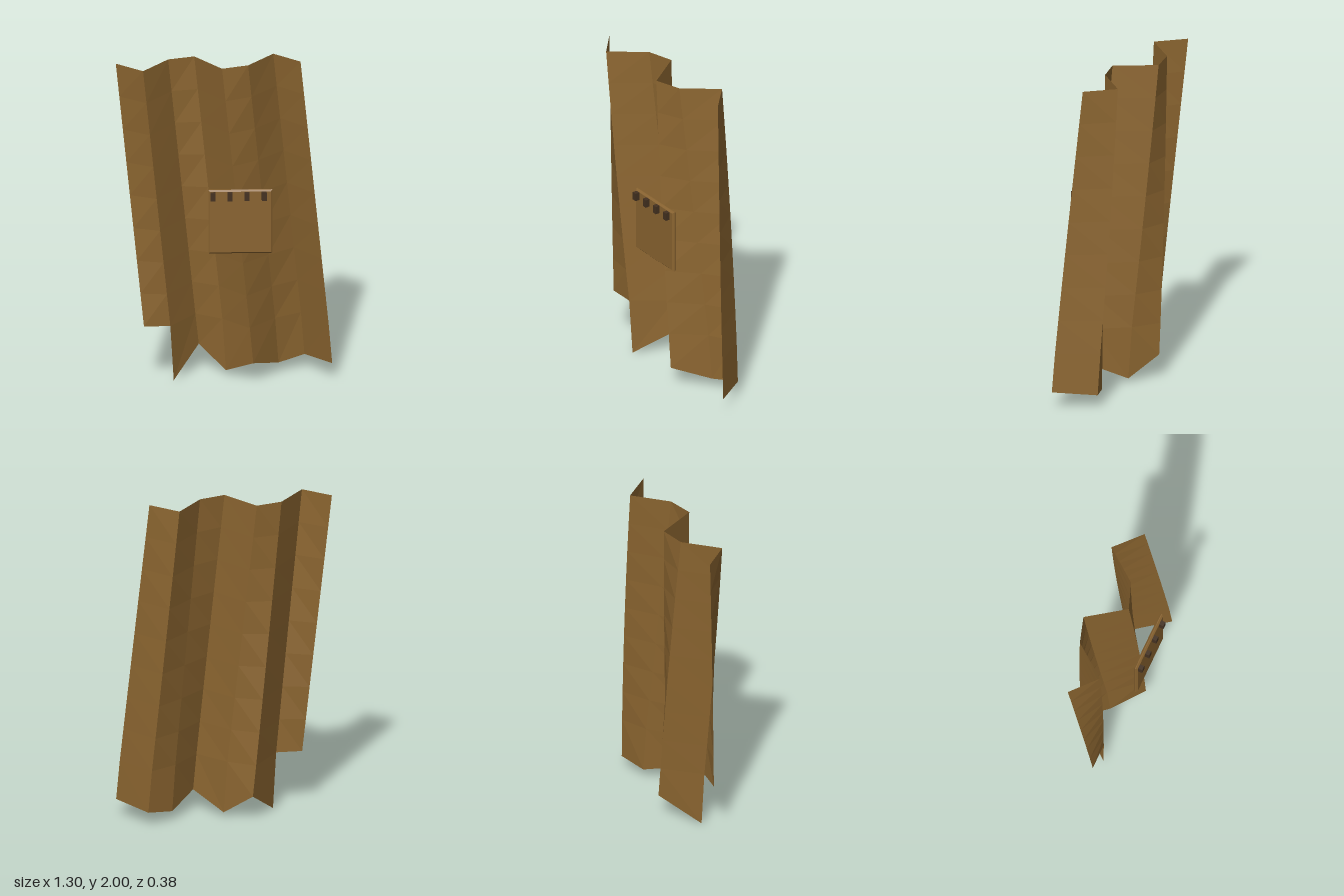
import * as THREE from 'three';

const ROWS = 9;
// ragged hem height for each fold line
const HEM = [0.14, 0, 0.155, 0.025, 0.125, 0.06, 0.085, 0.105];

// point on the hanging sheet: folds drift sideways and shift phase on the way down
function sheetPoint(col, row) {
  const t = row / ROWS;
  return [
    -0.655 + 0.159 * col + 0.187 * t,
    row === ROWS ? HEM[col] : 2 - 0.20625 * row,
    -0.045 + 0.145 * Math.sin(1.8 * col + 0.75 * t),
  ];
}

function buildSheet() {
  const pos = [];
  for (let c = 0; c < HEM.length - 1; c++) {
    // the first strip is torn off one row short
    const rows = c === 0 ? ROWS - 1 : ROWS;
    for (let r = 0; r < rows; r++) {
      const a = sheetPoint(c, r), b = sheetPoint(c + 1, r);
      const d = sheetPoint(c, r + 1), e = sheetPoint(c + 1, r + 1);
      pos.push(...a, ...d, ...b, ...b, ...d, ...e);
    }
  }
  const geo = new THREE.BufferGeometry();
  geo.setAttribute('position', new THREE.Float32BufferAttribute(pos, 3));
  geo.computeVertexNormals(); // unshared corners give flat facets
  return geo;
}

export function createModel() {
  const model = new THREE.Group();
  const cloth = new THREE.MeshStandardMaterial({ color: 0x8b6530, side: THREE.DoubleSide, flatShading: true });
  cloth.name = 'brown cloth';
  const patchMat = new THREE.MeshStandardMaterial({ color: 0x8a6430, flatShading: true });
  patchMat.name = 'patch brown';
  const stitchMat = new THREE.MeshStandardMaterial({ color: 0x443120, flatShading: true });
  stitchMat.name = 'dark stitch';

  const sheet = new THREE.Mesh(buildSheet(), cloth);
  sheet.name = 'foldedSheet';
  model.add(sheet);

  // patch with chamfered rim
  const w = 0.183, h = 0.193, bevel = 0.01;
  const shape = new THREE.Shape([
    new THREE.Vector2(-w, -h), new THREE.Vector2(w, -h),
    new THREE.Vector2(w, h), new THREE.Vector2(-w, h),
  ]);
  const patch = new THREE.Mesh(new THREE.ExtrudeGeometry(shape, {
    depth: 0.005, bevelEnabled: true, bevelSize: bevel, bevelThickness: bevel, bevelSegments: 1,
  }), patchMat);
  patch.position.set(0.088, 1.053, 0.15);
  patch.name = 'patch';
  model.add(patch);

  // row of stitches along the top of the patch
  const stitches = new THREE.Group();
  stitches.name = 'stitches';
  for (let i = 0; i < 4; i++) {
    const s = new THREE.Mesh(new THREE.BoxGeometry(0.03, 0.05, 0.03), stitchMat);
    s.position.set(-0.078 + 0.103 * i, 1.22, 0.178);
    s.name = 'stitch';
    stitches.add(s);
  }
  model.add(stitches);
  return model;
}
